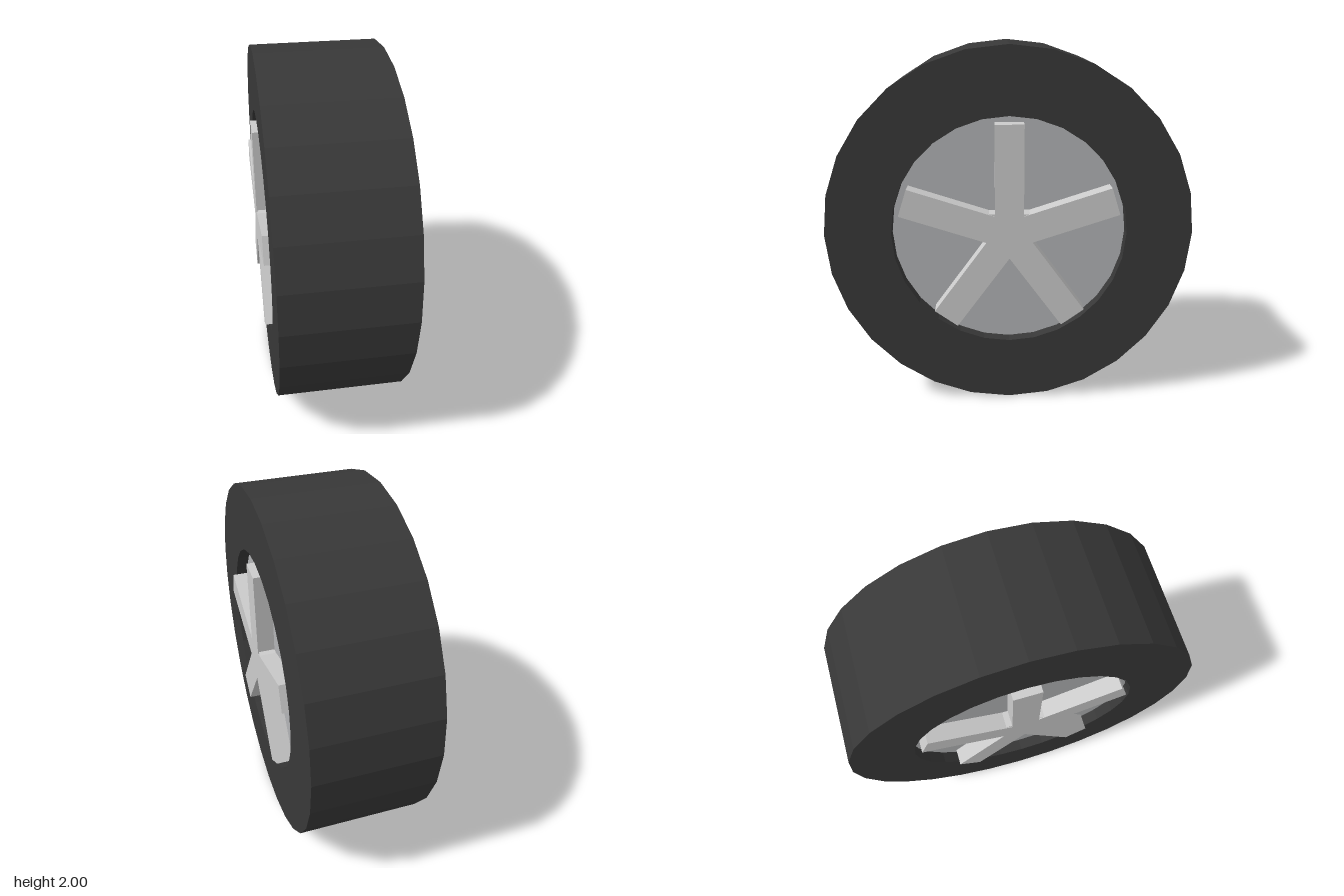
import * as THREE from 'three';

const SIDES = 28;
const TYRE_RADIUS = 1, RIM_RADIUS = 0.64, TYRE_HALF = 0.34;
const DISC_HALF = 0.275, SPOKE_HALF = 0.37;
const SPOKE_WIDTH = 0.155, SPOKE_LENGTH = 0.6;

const paint = (color) => new THREE.MeshStandardMaterial({ color, flatShading: true });

function addMesh(parent, name, geometry, material) {
  const mesh = new THREE.Mesh(geometry, material);
  mesh.name = name;
  parent.add(mesh);
  return mesh;
}

export function createModel() {
  const wheel = new THREE.Group();
  wheel.name = 'wheel';
  const rubber = paint(0x383838), discMetal = paint(0xb3b4b6), spokeMetal = paint(0xcdced0);

  // Tyre: rectangular ring turned around the x axle
  const profile = [
    [RIM_RADIUS, -TYRE_HALF], [TYRE_RADIUS, -TYRE_HALF],
    [TYRE_RADIUS, TYRE_HALF], [RIM_RADIUS, TYRE_HALF], [RIM_RADIUS, -TYRE_HALF],
  ].map(([r, y]) => new THREE.Vector2(r, y));
  addMesh(wheel, 'tyre', new THREE.LatheGeometry(profile, SIDES).rotateZ(Math.PI / 2), rubber);

  // Recessed rim disc filling the tyre's hole
  const disc = new THREE.CylinderGeometry(RIM_RADIUS, RIM_RADIUS, DISC_HALF * 2, SIDES);
  addMesh(wheel, 'rimDisc', disc.rotateZ(Math.PI / 2), discMetal);

  // Five spokes running through the wheel, showing on both sides
  const spokes = new THREE.Group();
  spokes.name = 'spokes';
  wheel.add(spokes);
  const bar = new THREE.BoxGeometry(SPOKE_HALF * 2, SPOKE_LENGTH, SPOKE_WIDTH);
  bar.translate(0, SPOKE_LENGTH / 2, 0);
  for (let i = 0; i < 5; i++) {
    addMesh(spokes, 'spoke' + (i + 1), bar, spokeMetal).rotation.x = (i * Math.PI * 2) / 5;
  }

  // Square hub block behind the spoke junction
  addMesh(wheel, 'hub', new THREE.BoxGeometry(0.73, 0.235, 0.235), spokeMetal);

  wheel.position.y = TYRE_RADIUS;
  const model = new THREE.Group();
  model.add(wheel);
  return model;
}
